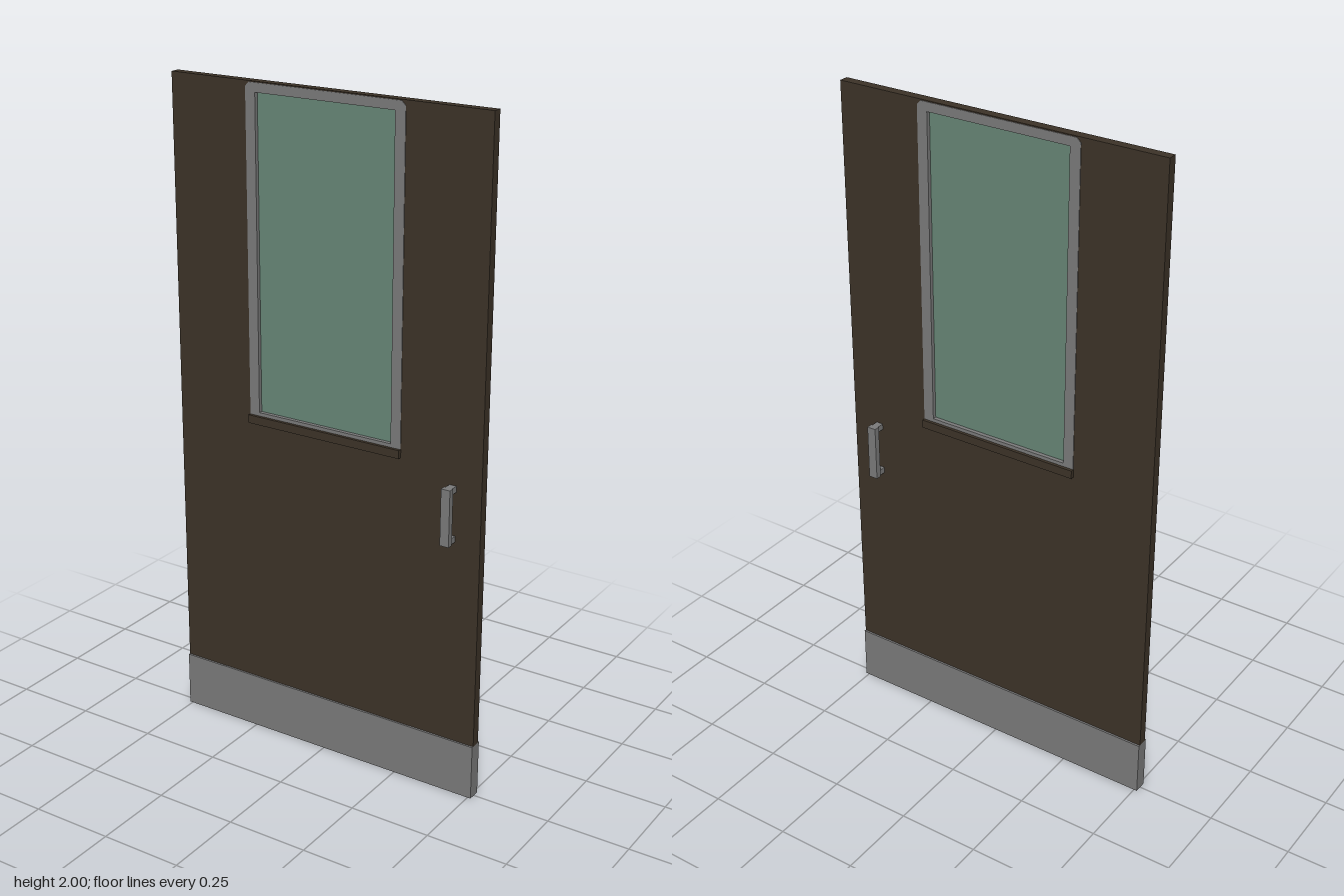
import * as THREE from 'three';

const mat = (name, color) => {
  const m = new THREE.MeshStandardMaterial({ color });
  m.name = name;
  return m;
};

export function createModel() {
  const brown = mat('dark brown', 0x3d3328);
  const gray = mat('metal gray', 0x7c7c7c);
  const green = mat('green glass', 0x688878);
  const group = new THREE.Group();
  group.name = 'door';

  const add = (name, geometry, material, x = 0, y = 0, z = 0, parent = group) => {
    const mesh = new THREE.Mesh(geometry, material);
    mesh.name = name;
    mesh.position.set(x, y, z);
    parent.add(mesh);
    return mesh;
  };
  const box = (name, material, w, h, d, x, y, z, parent) =>
    add(name, new THREE.BoxGeometry(w, h, d), material, x, y, z, parent);

  // Rectangle outline with optional clipped corners
  const rect = (Type, x0, y0, x1, y1, c = 0) => {
    const p = c
      ? [[x0 + c, y0], [x1 - c, y0], [x1, y0 + c], [x1, y1 - c], [x1 - c, y1], [x0 + c, y1], [x0, y1 - c], [x0, y0 + c]]
      : [[x0, y0], [x1, y0], [x1, y1], [x0, y1]];
    return new Type(p.map(([x, y]) => new THREE.Vector2(x, y)));
  };
  // Plate with a rectangular opening, centred on z = 0
  const plate = (outer, hole, depth) => {
    outer.holes.push(hole);
    return new THREE.ExtrudeGeometry(outer, { depth, bevelEnabled: false }).translate(0, 0, -depth / 2);
  };

  // Door leaf with window opening
  add('doorLeaf', plate(rect(THREE.Shape, -0.51, 0.17, 0.51, 2),
    rect(THREE.Path, -0.24, 1.03, 0.235, 1.985), 0.028), brown);

  // Kick plate wrapping the bottom
  box('kickPlate', gray, 1.02, 0.17, 0.04, 0, 0.085, 0);

  // Window frame, pane and sill
  add('windowFrame', plate(rect(THREE.Shape, -0.257, 1.01, 0.252, 1.997, 0.012),
    rect(THREE.Path, -0.225, 1.043, 0.22, 1.97), 0.032), gray);
  box('windowPane', green, 0.445, 0.927, 0.008, -0.0025, 1.5065, 0);
  box('windowSill', brown, 0.51, 0.025, 0.05, -0.0025, 1.02, 0);

  // Pull handle on each face: a grip with two posts
  for (const side of [1, -1]) {
    const handle = new THREE.Group();
    handle.name = side > 0 ? 'frontHandle' : 'backHandle';
    box('grip', gray, 0.028, 0.17, 0.018, 0.42, 0.88, side * 0.046, handle);
    for (const y of [0.805, 0.955])
      box('post', gray, 0.022, 0.018, 0.03, 0.42, y, side * 0.025, handle);
    group.add(handle);
  }
  return group;
}
